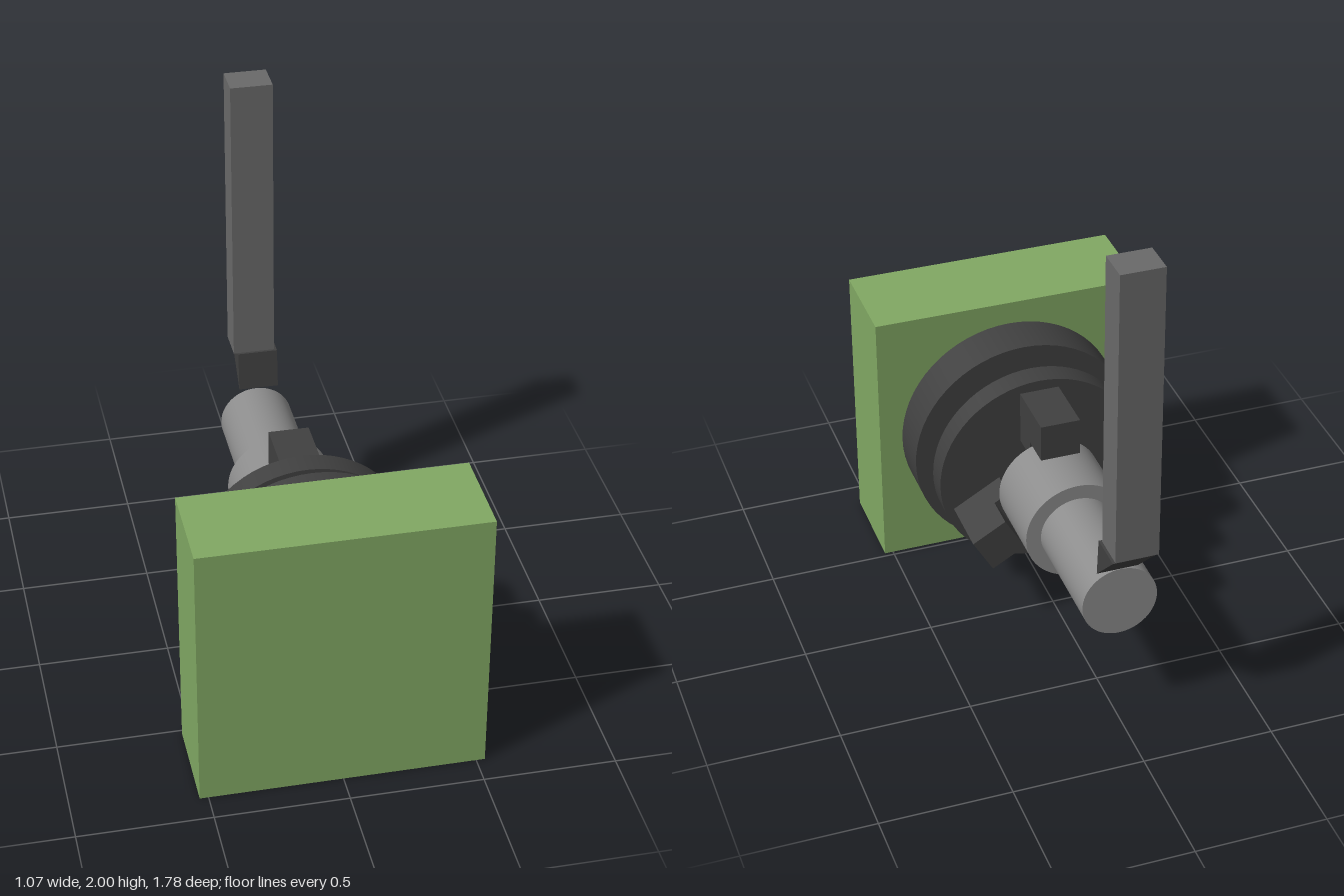
import * as THREE from 'three';

const AXIS_Y = 0.535;
const green = new THREE.MeshStandardMaterial({ color: 0x81a863 });
const dark = new THREE.MeshStandardMaterial({ color: 0x404040 });
const steel = new THREE.MeshStandardMaterial({ color: 0x8c8c8c });
const toolGrey = new THREE.MeshStandardMaterial({ color: 0x696969 });

function addMesh(parent, name, geometry, material) {
  const mesh = new THREE.Mesh(geometry, material);
  mesh.name = name;
  parent.add(mesh);
  return mesh;
}

// Box given by its minimum and maximum corners
function box(min, max) {
  const size = max.map((v, i) => v - min[i]);
  return new THREE.BoxGeometry(...size).translate(...max.map((v, i) => (v + min[i]) / 2));
}

// Cylinder lying along z
function disc(radius, z0, z1) {
  return new THREE.CylinderGeometry(radius, radius, z1 - z0, 64)
    .rotateX(Math.PI / 2).translate(0, 0, (z0 + z1) / 2);
}

// Profile of [-z, y] points extruded along x from x0 to x1
function sideProfile(points, x0, x1) {
  const shape = new THREE.Shape(points.map(([u, y]) => new THREE.Vector2(u, y)));
  return new THREE.ExtrudeGeometry(shape, { depth: x1 - x0, bevelEnabled: false })
    .rotateY(Math.PI / 2).translate(x0, 0, 0);
}

export function createModel() {
  const model = new THREE.Group();
  model.name = 'latheChuckAndTool';

  // Headstock block
  addMesh(model, 'headstock', box([-0.533, 0, 0.518], [0.533, 1.07, 0.89]), green);

  // Everything that turns about the spindle axis
  const spindle = new THREE.Group();
  spindle.name = 'spindle';
  spindle.position.y = AXIS_Y;
  model.add(spindle);

  // Chuck body
  addMesh(spindle, 'chuckBackPlate', disc(0.443, 0.335, 0.518), dark);
  addMesh(spindle, 'chuckNeck', disc(0.287, 0.25, 0.335), dark);
  addMesh(spindle, 'chuckFacePlate', disc(0.4, 0.155, 0.25), dark);

  // Three stepped jaws
  const jaw = sideProfile([
    [-0.155, 0.145], [-0.042, 0.145], [-0.042, 0.21],
    [0.087, 0.21], [0.087, 0.358], [-0.155, 0.358],
  ], -0.077, 0.077);
  for (let i = 0; i < 3; i++) {
    addMesh(spindle, `jaw${i + 1}`, jaw, dark).rotation.z = (i * Math.PI * 2) / 3;
  }

  // Stepped workpiece
  addMesh(spindle, 'workpieceWide', disc(0.201, -0.275, 0.042), steel);
  addMesh(spindle, 'workpieceNarrow', disc(0.143, -0.73, -0.275), steel);

  // Cutting tool: square shank with a wedge tip
  const tool = new THREE.Group();
  tool.name = 'cuttingTool';
  model.add(tool);
  addMesh(tool, 'toolShank', box([-0.083, 0.835, -0.888], [0.08, 2, -0.755]), toolGrey);
  addMesh(tool, 'toolTip',
    sideProfile([[0.73, 0.68], [0.89, 0.836], [0.745, 0.836]], -0.067, 0.09), dark);

  return model;
}
